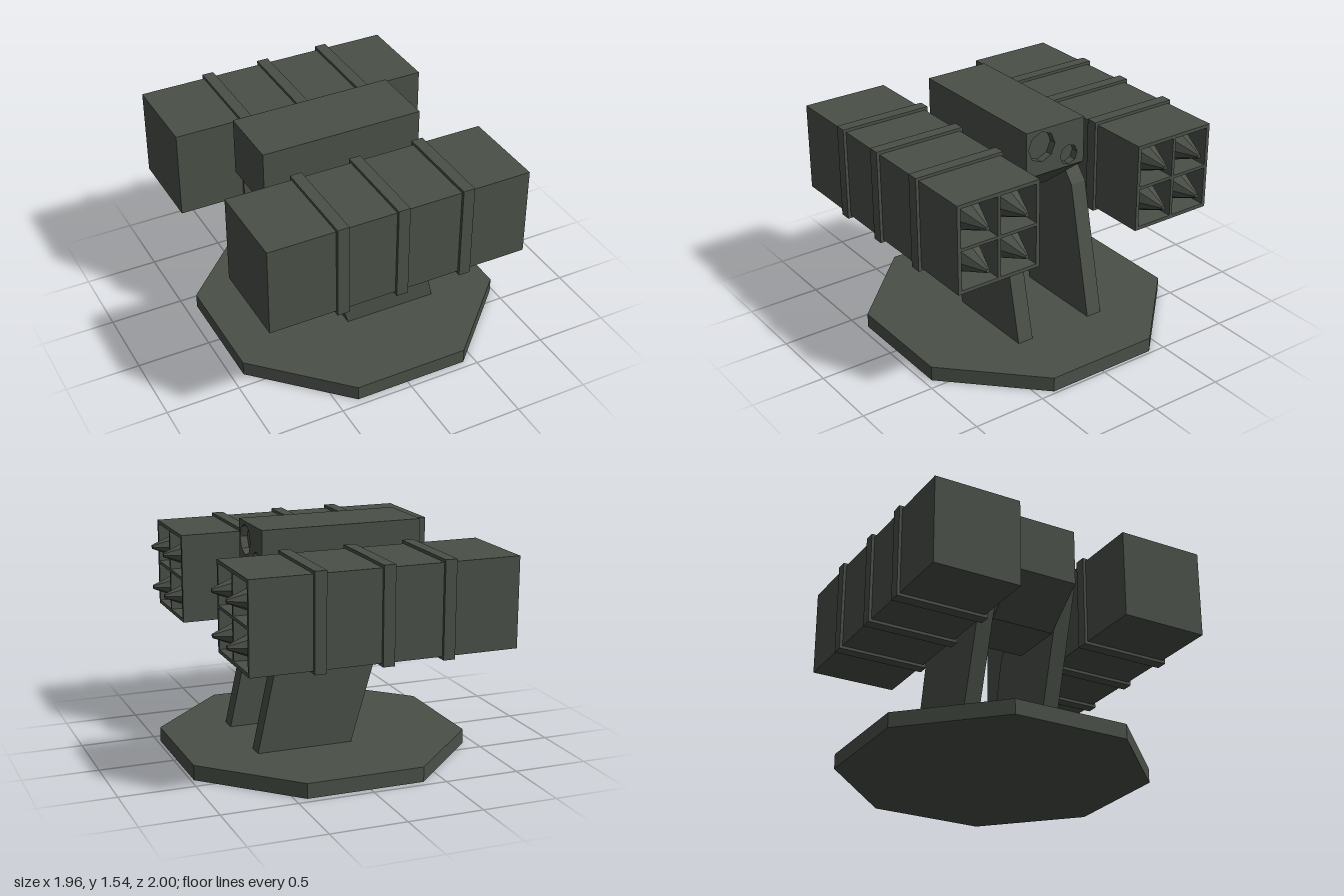
import * as THREE from 'three';

const olive = new THREE.MeshStandardMaterial({ color: 0x4a5048 });
olive.name = 'olive drab';

function add(parent, name, geometry, x = 0, y = 0, z = 0) {
  const flat = geometry.index ? geometry.toNonIndexed() : geometry;
  flat.computeVertexNormals(); // hard facets
  const mesh = new THREE.Mesh(flat, olive);
  mesh.name = name;
  mesh.position.set(x, y, z);
  parent.add(mesh);
  return mesh;
}

const polygon = (points) => new THREE.Shape(points.map(([x, y]) => new THREE.Vector2(x, y)));
const rectangle = (cx, cy, w, h) => [[-1, -1], [1, -1], [1, 1], [-1, 1]]
  .map(([a, b]) => [cx + a * w / 2, cy + b * h / 2]);
const octagon = (cx, cy, r) => Array.from({ length: 8 }, (_, i) =>
  [cx + r * Math.cos(i * Math.PI / 4), cy + r * Math.sin(i * Math.PI / 4)]);

// Profile in the x-y plane, thickened along z and centred
const slab = (points, width) => new THREE.ExtrudeGeometry(polygon(points),
  { depth: width, bevelEnabled: false }).translate(0, 0, -width / 2);

// Plate with holes that faces +x and starts at x = 0
function piercedPlate(outline, holes, depth) {
  const shape = polygon(outline);
  shape.holes = holes.map(polygon);
  return new THREE.ExtrudeGeometry(shape, { depth, bevelEnabled: false }).rotateY(Math.PI / 2);
}

function createPod() {
  const pod = new THREE.Group();
  const floor = 0.61, front = 0.8, back = -0.98, size = 0.596;
  add(pod, 'podBody', new THREE.BoxGeometry(floor - back, size, size), (floor + back) / 2);

  // Four open launch cells, each with a pointed warhead
  const cells = [];
  for (const y of [-0.142, 0.142]) for (const z of [-0.142, 0.142]) cells.push([z, y]);
  add(pod, 'cellFrame', piercedPlate(rectangle(0, 0, size, size),
    cells.map(([z, y]) => rectangle(z, y, 0.263, 0.263)), front - floor), floor);
  for (const [z, y] of cells) {
    add(pod, 'warhead', new THREE.CylinderGeometry(0.014, 0.12, 0.25, 8).rotateZ(-Math.PI / 2),
      0.76, y, z);
  }

  // Raised straps around the pod
  for (const x of [-0.497, -0.09, 0.355]) {
    add(pod, 'strap', new THREE.BoxGeometry(0.078, 0.636, 0.636), x);
  }
  return pod;
}

export function createModel() {
  const model = new THREE.Group();
  model.name = 'launcher';

  // Octagonal base plate
  const radius = 0.95 / Math.cos(Math.PI / 8);
  add(model, 'basePlate', new THREE.CylinderGeometry(radius, radius, 0.1, 8)
    .rotateY(Math.PI / 8), 0.03, 0.05, 0);

  // Mirrored arms, trunnions and pods
  const armProfile = [[-0.12, 0.1], [0.53, 0.1], [0.33, 1.01], [0.1, 1.28], [-0.47, 1.28]];
  for (const side of [-1, 1]) {
    add(model, 'supportArm', slab(armProfile, 0.112), 0, 0, side * 0.285);
    add(model, 'trunnion', new THREE.CylinderGeometry(0.083, 0.083, 0.1, 8)
      .rotateX(Math.PI / 2), -0.1, 1.12, side * 0.37);
    const pod = createPod();
    pod.name = side > 0 ? 'leftPod' : 'rightPod';
    pod.position.set(0, 1.12, side * 0.682);
    model.add(pod);
  }

  // Central sight housing with a sloping underside
  const housing = [[0.4, 1.54], [-0.65, 1.54], [-0.65, 1.15], [-0.35, 0.92],
    [0.05, 0.92], [0.4, 1.191]];
  add(model, 'sightHousing', slab(housing.reverse(), 0.45));
  const lip = [[0.4, 1.191], [0.45, 1.23], [0.4, 1.23]];
  add(model, 'housingLip', slab(lip, 0.45));

  // Recessed lens openings in the housing front
  add(model, 'sightFace', piercedPlate(rectangle(0, 1.385, 0.45, 0.31),
    [octagon(-0.107, 1.42, 0.103), octagon(0.107, 1.31, 0.068)], 0.05), 0.4);

  return model;
}
